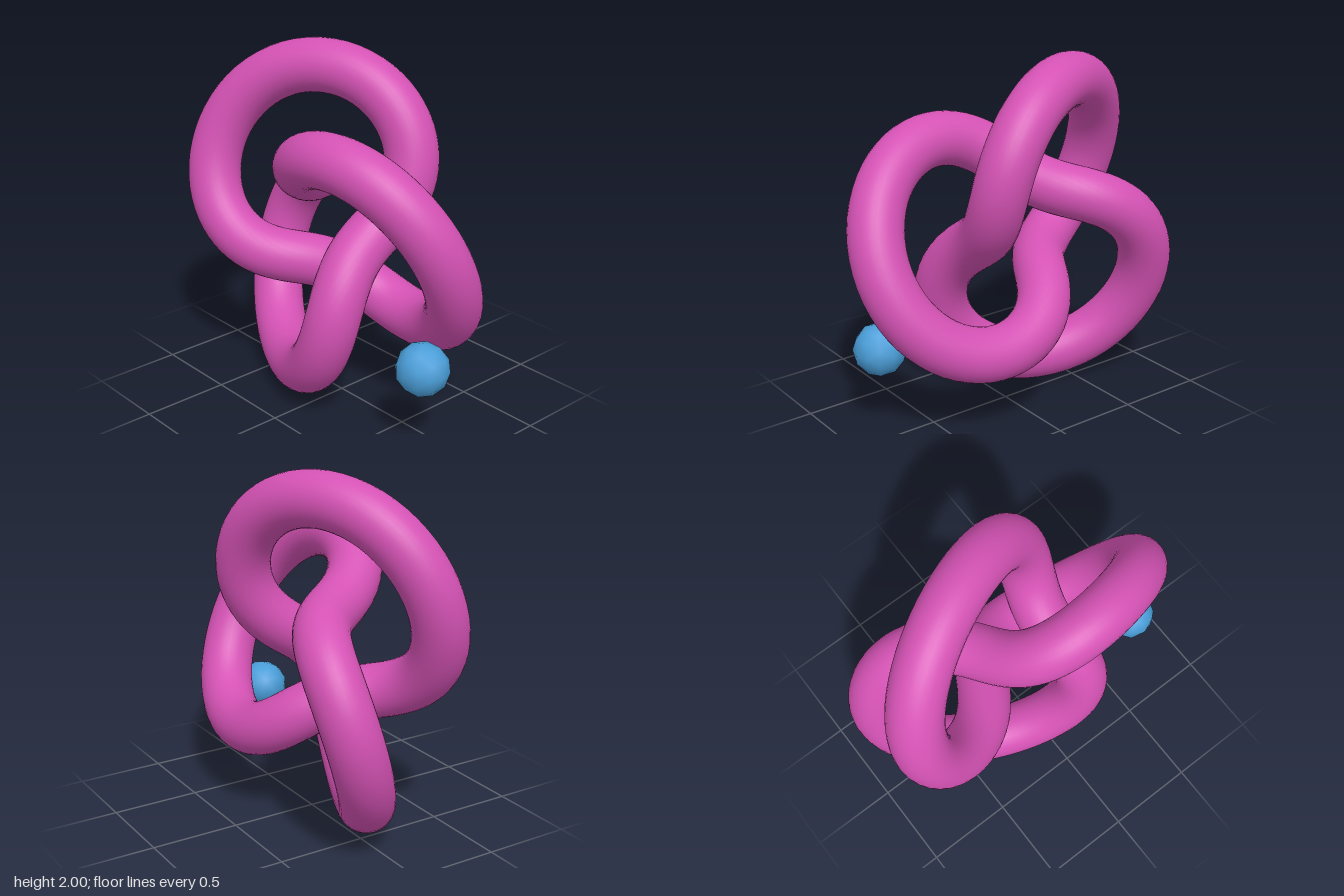
import * as THREE from 'three';

export function createModel() {
  const model = new THREE.Group();
  model.name = 'knotAndBall';

  const pink = new THREE.MeshStandardMaterial({ color: 0xd452b4 });
  pink.name = 'orchid pink';
  const blue = new THREE.MeshStandardMaterial({ color: 0x4a9ed9 });
  blue.name = 'sky blue';

  // Trefoil tube: two turns around its axis, three lobes
  const knot = new THREE.Mesh(new THREE.TorusKnotGeometry(0.601, 0.151, 200, 32, 2, 3), pink);
  knot.name = 'trefoilKnot';
  knot.position.set(-0.096, 1, 0);
  model.add(knot);

  // Small faceted ball beside the lower right lobe
  const ball = new THREE.Mesh(new THREE.IcosahedronGeometry(0.148, 1), blue);
  ball.name = 'ball';
  ball.position.set(0.76, 0.48, 0.115);
  model.add(ball);

  return model;
}
